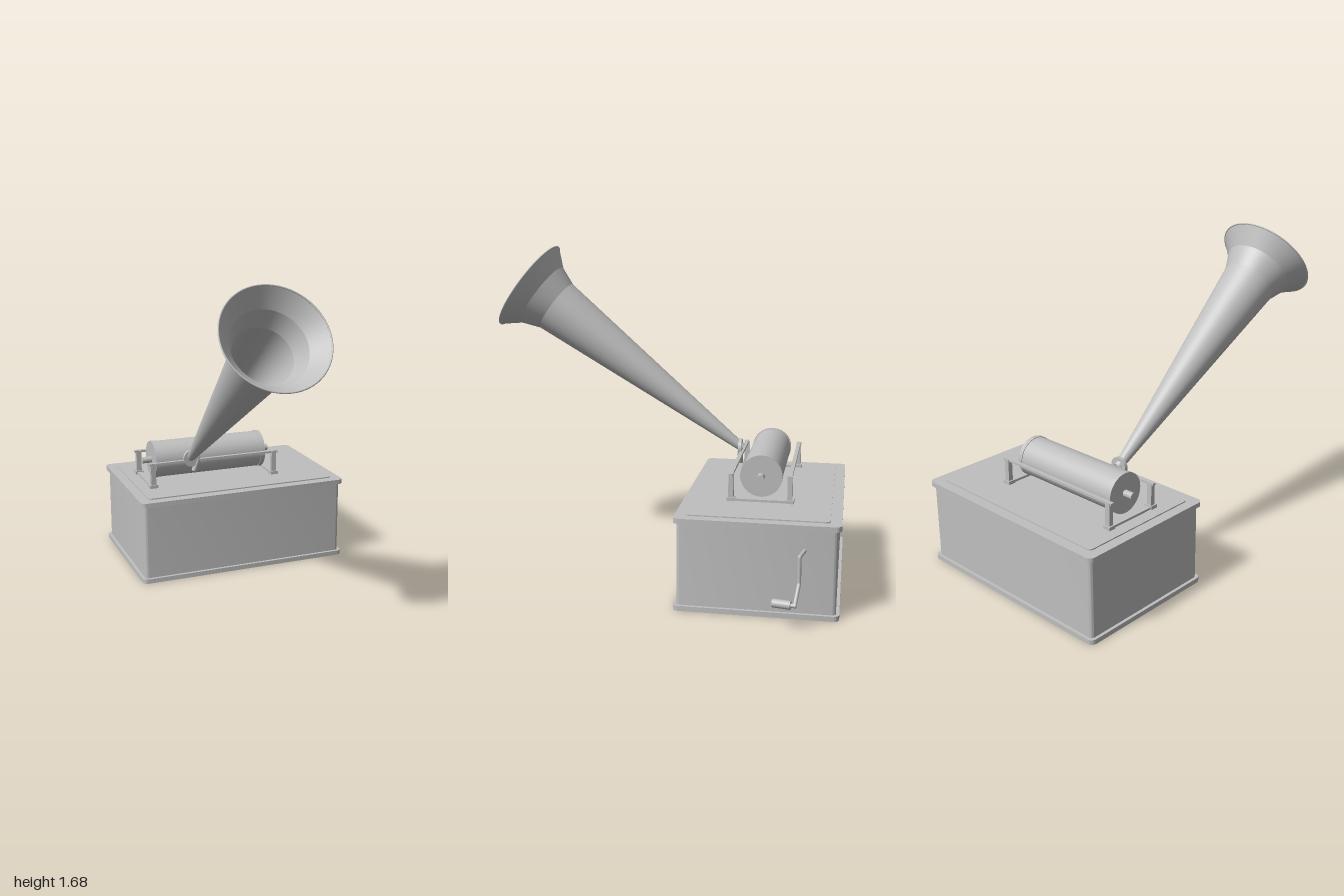
import * as THREE from 'three';
import { toCreasedNormals } from 'three/addons/utils/BufferGeometryUtils.js';

export function createModel() {
  const grey = new THREE.MeshStandardMaterial({ color: 0xbfbfbf, side: THREE.DoubleSide });
  grey.name = 'plain grey';

  const root = new THREE.Group();
  root.name = 'cylinderPhonograph';

  // The case, mechanism and horn share one turned frame
  const machine = new THREE.Group();
  machine.name = 'machine';
  machine.position.set(-0.0325, 0, -0.5075);
  machine.rotation.y = 0.19;
  root.add(machine);

  const add = (parent, name, geometry, x = 0, y = 0, z = 0) => {
    const mesh = new THREE.Mesh(geometry, grey);
    mesh.name = name;
    mesh.position.set(x, y, z);
    parent.add(mesh);
    return mesh;
  };

  // Flat slab with rounded vertical corners, standing on y = 0
  const slab = (w, d, h, r) => {
    const x = w / 2, y = d / 2;
    const s = new THREE.Shape();
    s.moveTo(-x + r, -y);
    s.absarc(x - r, -y + r, r, -Math.PI / 2, 0);
    s.absarc(x - r, y - r, r, 0, Math.PI / 2);
    s.absarc(-x + r, y - r, r, Math.PI / 2, Math.PI);
    s.absarc(-x + r, -y + r, r, Math.PI, Math.PI * 1.5);
    const g = new THREE.ExtrudeGeometry(s, { depth: h, bevelEnabled: false, curveSegments: 8 });
    g.rotateX(-Math.PI / 2);
    return toCreasedNormals(g, 0.6);
  };

  // Straight round rod between two points
  const rod = (parent, name, a, b, r) => {
    const from = new THREE.Vector3(...a), to = new THREE.Vector3(...b);
    const dir = to.clone().sub(from);
    const mesh = add(parent, name, new THREE.CylinderGeometry(r, r, dir.length(), 20));
    mesh.position.copy(from).add(to).multiplyScalar(0.5);
    mesh.quaternion.setFromUnitVectors(new THREE.Vector3(0, 1, 0), dir.normalize());
    return mesh;
  };

  // Case with mouldings and raised lid panel
  add(machine, 'baseMoulding', slab(1.188, 0.784, 0.025, 0.03));
  add(machine, 'caseBody', slab(1.156, 0.752, 0.41, 0.02), 0, 0.022, 0);
  add(machine, 'lidMoulding', slab(1.188, 0.784, 0.025, 0.03), 0, 0.43, 0);
  add(machine, 'lidPanel', slab(1.08, 0.676, 0.008, 0.02), 0, 0.453, 0);

  // Carrying frame: end strips, feet, posts and long rails
  const frame = new THREE.Group();
  frame.name = 'carryingFrame';
  frame.position.set(-0.1, 0, 0.011);
  machine.add(frame);
  for (const sx of [-1, 1]) {
    add(frame, 'endStrip', new THREE.BoxGeometry(0.03, 0.014, 0.3), sx * 0.36, 0.466, 0);
    for (const sz of [-1, 1]) {
      add(frame, 'foot', new THREE.BoxGeometry(0.045, 0.02, 0.04), sx * 0.36, 0.469, sz * 0.145);
      add(frame, 'post', new THREE.BoxGeometry(0.028, 0.125, 0.025), sx * 0.36, 0.535, sz * 0.145);
    }
  }
  for (const sz of [-1, 1]) {
    add(frame, 'longRail', new THREE.BoxGeometry(0.765, 0.012, 0.02), 0, 0.593, sz * 0.145);
  }

  // Record cylinder with end bands on a shaft
  rod(frame, 'recordCylinder', [-0.325, 0.58, 0], [0.325, 0.58, 0], 0.102).geometry =
    new THREE.CylinderGeometry(0.102, 0.102, 0.65, 48);
  for (const sx of [-1, 1]) {
    const band = add(frame, 'endBand', new THREE.CylinderGeometry(0.105, 0.105, 0.024, 48), sx * 0.315, 0.58, 0);
    band.rotation.z = Math.PI / 2;
  }
  rod(frame, 'shaft', [-0.38, 0.58, 0], [0.38, 0.58, 0], 0.018);

  // Sound box disc with its small stylus arm
  rod(machine, 'soundBox', [-0.238, 0.61, 0.158], [-0.238, 0.61, 0.176], 0.048);
  rod(machine, 'stylusArm', [-0.2, 0.6, 0.165], [-0.225, 0.535, 0.165], 0.014);

  // Horn: long cone, throat and flared bell
  const horn = new THREE.Group();
  horn.name = 'horn';
  horn.position.set(-0.24, 0.61, 0.157);
  horn.rotation.x = Math.PI / 2 - 0.63;
  machine.add(horn);
  const sections = [
    ['hornCone', 0.022, 0.0, 0.147, 1.268],
    ['hornThroat', 0.147, 1.268, 0.186, 1.366],
    ['hornBell', 0.186, 1.366, 0.26, 1.453],
  ];
  for (const [name, r0, y0, r1, y1] of sections) {
    add(horn, name, new THREE.LatheGeometry([new THREE.Vector2(r0, y0), new THREE.Vector2(r1, y1)], 64));
  }
  add(horn, 'hornRim', new THREE.TorusGeometry(0.259, 0.004, 8, 64), 0, 1.453, 0).rotation.x = Math.PI / 2;

  // Winding crank on the right-hand end of the case
  const crank = new THREE.Group();
  crank.name = 'crank';
  root.add(crank);
  const bends = [[0.47, 0.33], [0.585, 0.33], [0.585, 0.205], [0.658, 0.125]].map(([x, y]) => [x, y, -0.838]);
  for (let i = 0; i < 3; i++) {
    rod(crank, 'crankArm', bends[i], bends[i + 1], 0.009);
    add(crank, 'crankJoint', new THREE.SphereGeometry(0.009, 12, 8), ...bends[i + 1]);
  }
  rod(crank, 'crankPin', [0.658, 0.125, -0.845], [0.658, 0.125, -0.8], 0.01);
  rod(crank, 'crankHandle', [0.658, 0.125, -0.82], [0.658, 0.125, -0.735], 0.02);

  return root;
}
